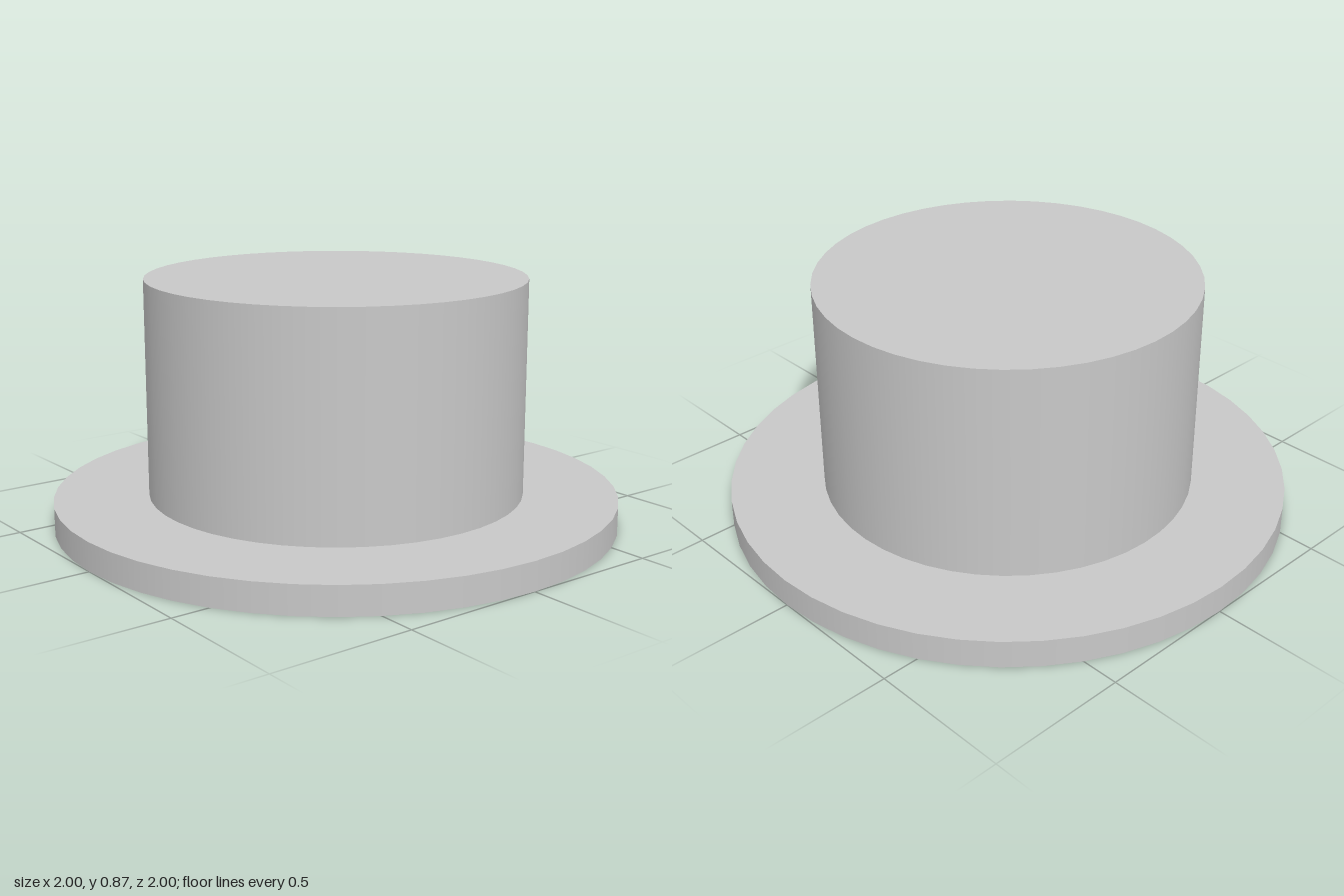
import * as THREE from 'three';

const SEGMENTS = 48;
const BRIM_R = 1, BRIM_H = 0.1;
const CROWN_R = 0.667, TOP = 0.867;
const POCKET = 0.667, POCKET_DEPTH = 0.267;

export function createModel() {
  const model = new THREE.Group();
  model.name = 'flangedPlug';
  const grey = new THREE.MeshStandardMaterial({ color: 0xc8c8c8 });
  grey.name = 'grey';

  const add = (name, geometry, parent = model) => {
    const mesh = new THREE.Mesh(geometry, grey);
    mesh.name = name;
    parent.add(mesh);
    return mesh;
  };
  const wall = (r, y0, y1) =>
    new THREE.CylinderGeometry(r, r, y1 - y0, SEGMENTS, 1, true).translate(0, (y0 + y1) / 2, 0);

  // Wide flange at the foot
  add('flangeRim', wall(BRIM_R, 0, BRIM_H));
  add('flangeTop', new THREE.RingGeometry(CROWN_R, BRIM_R, SEGMENTS).rotateX(-Math.PI / 2).translate(0, BRIM_H, 0));

  // Cylindrical body
  add('bodySide', wall(CROWN_R, BRIM_H, TOP));
  add('bodyTop', new THREE.CircleGeometry(CROWN_R, SEGMENTS).rotateX(-Math.PI / 2).translate(0, TOP, 0));

  // Underside with a square opening
  const h = POCKET / 2;
  const underside = new THREE.Shape().absarc(0, 0, BRIM_R, 0, Math.PI * 2, false);
  underside.holes.push(new THREE.Path([[-h, -h], [-h, h], [h, h], [h, -h]].map(p => new THREE.Vector2(...p))));
  add('underside', new THREE.ShapeGeometry(underside, SEGMENTS).rotateX(Math.PI / 2));

  // Square blind pocket: four inward walls and a ceiling
  const pocket = new THREE.Group();
  pocket.name = 'squarePocket';
  model.add(pocket);
  for (let i = 0; i < 4; i++) {
    add('pocketWall', new THREE.PlaneGeometry(POCKET, POCKET_DEPTH)
      .translate(0, POCKET_DEPTH / 2, -h).rotateY(i * Math.PI / 2), pocket);
  }
  add('pocketCeiling', new THREE.PlaneGeometry(POCKET, POCKET)
    .rotateX(Math.PI / 2).translate(0, POCKET_DEPTH, 0), pocket);

  return model;
}
